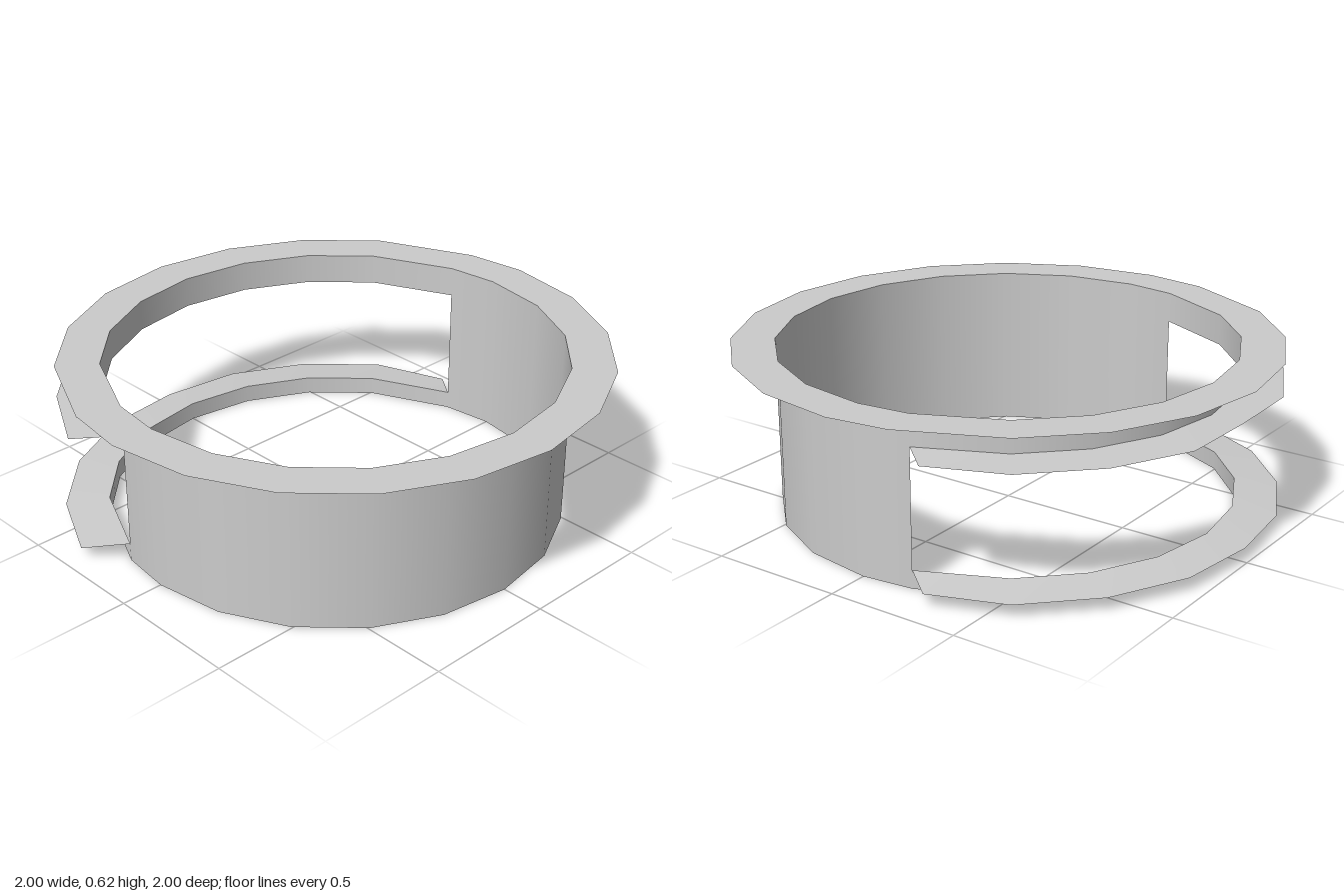
import * as THREE from 'three';

const SIDES = 20, STEP = 360 / SIDES;
const R_WALL = 0.84, R_FLANGE = 1;
const TOP = 0.62, WINDOW_TOP = 0.505, WINDOW_BOTTOM = 0.068;
const WINDOW_ANGLE = 103.3;

// Angles in degrees from +z towards +x; the sixth corner is pulled to the window edge
const cornerAngle = (i) => {
  const a = i * STEP;
  if (Math.abs(a) === 108) return Math.sign(a) * WINDOW_ANGLE;
  if (a === 252) return 360 - WINDOW_ANGLE;
  return a;
};

const angles = (from, to) =>
  Array.from({ length: to - from + 1 }, (_, k) => cornerAngle(from + k));

const point = (deg, r, y) => {
  const a = THREE.MathUtils.degToRad(deg);
  return [r * Math.sin(a), y, r * Math.cos(a)];
};

const ring = (list, r, y) => list.map((a) => point(a, r, y));

// Smooth strip of quads between two rows of points
function strip(name, lower, upper) {
  const n = lower.length, index = [];
  for (let i = 0; i < n - 1; i++) index.push(i, i + 1, n + i + 1, i, n + i + 1, n + i);
  const geometry = new THREE.BufferGeometry();
  geometry.setAttribute('position', new THREE.Float32BufferAttribute([...lower, ...upper].flat(), 3));
  geometry.setIndex(index);
  geometry.computeVertexNormals();
  const material = new THREE.MeshStandardMaterial({ color: 0xcccccc, side: THREE.DoubleSide });
  const mesh = new THREE.Mesh(geometry, material);
  mesh.name = name;
  return mesh;
}

// Thin wall that follows the body, with radial normals
function wall(name, list, y0, y1) {
  const mesh = strip(name, ring(list, R_WALL, y0), ring(list, R_WALL, y1));
  const p = mesh.geometry.attributes.position, normal = mesh.geometry.attributes.normal;
  for (let i = 0; i < p.count; i++) normal.setXYZ(i, p.getX(i) / R_WALL, 0, p.getZ(i) / R_WALL);
  return mesh;
}

export function createModel() {
  const group = new THREE.Group();
  group.name = 'windowedCollar';

  const front = angles(-6, 6), back = angles(6, 14), all = angles(-6, 14);

  // Body: full-height front, and narrow bands above and below the rear window
  group.add(wall('frontWall', front, 0, TOP));
  group.add(wall('upperRearBand', back, WINDOW_TOP, TOP));
  group.add(wall('lowerRearBand', back, 0, WINDOW_BOTTOM));

  // Flat flange around the top rim
  group.add(strip('topFlange',
    all.map((a) => point(a, Math.abs(Math.abs(a) - 180) === 180 - WINDOW_ANGLE ? 0.997 : R_FLANGE, TOP)),
    ring(all, R_WALL, TOP)));

  // Lips along the window's top and bottom edges, with slanted ends
  const lip = (name, yInner, yOuter, endLeft, endRight, rBack) => {
    const outer = back.map((a) => point(a, a === 180 ? rBack : R_FLANGE, yOuter));
    outer[0] = [endLeft, yOuter, -0.31];
    outer[outer.length - 1] = [endRight, yOuter, -0.31];
    group.add(strip(name, outer, ring(back, R_WALL, yInner)));
  };
  lip('upperWindowLip', WINDOW_TOP, 0.5, 0.92, -0.96, 0.96);
  lip('lowerWindowLip', WINDOW_BOTTOM, 0.052, 0.91, -0.945, 0.99);

  return group;
}
